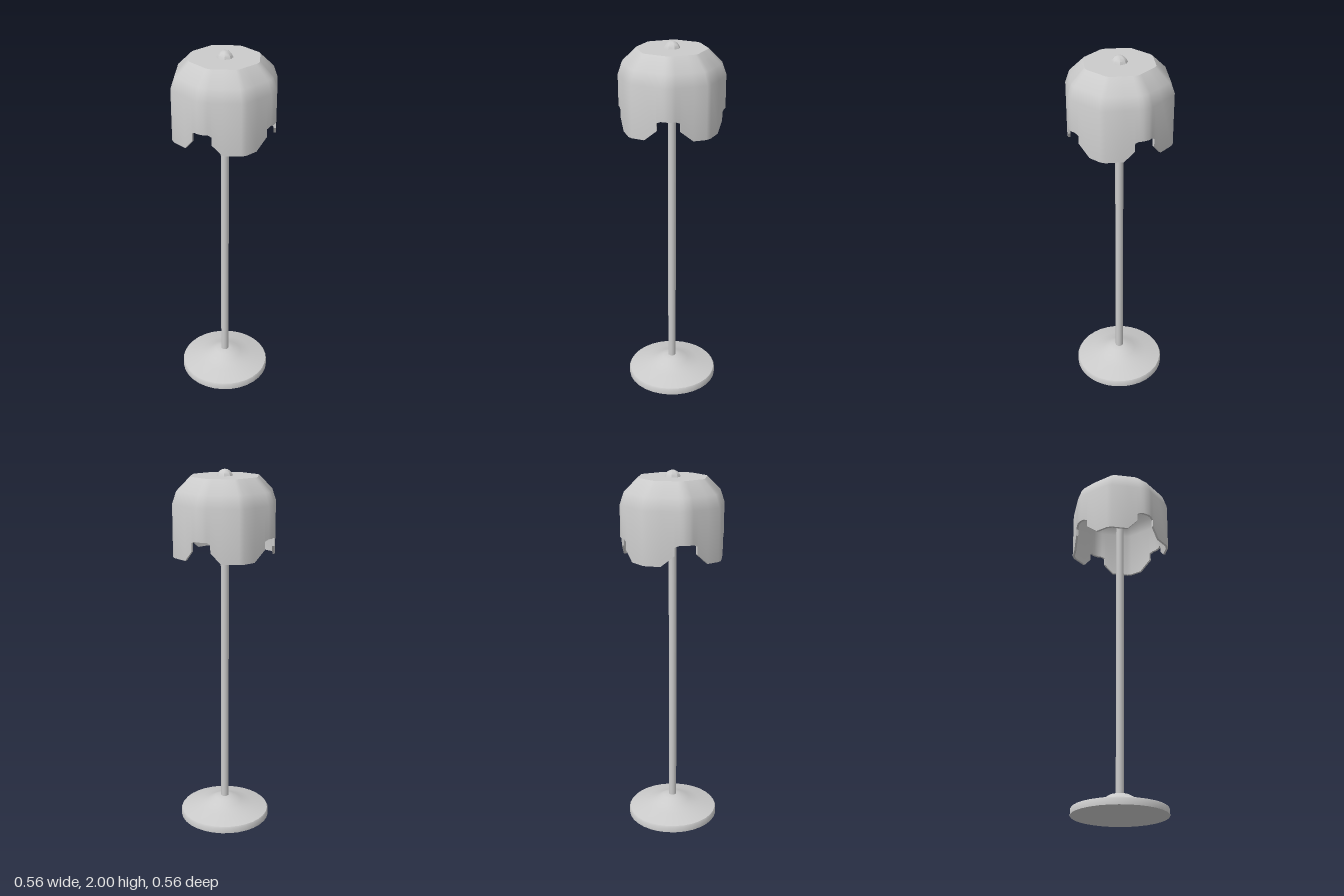
import * as THREE from 'three';
import { toCreasedNormals } from 'three/addons/utils/BufferGeometryUtils.js';

const material = new THREE.MeshStandardMaterial({ color: 0xcccccc });

function addPart(group, name, geometry) {
  const mesh = new THREE.Mesh(geometry, material);
  mesh.name = name;
  group.add(mesh);
}

function lathe(points, sides, start = 0) {
  return new THREE.LatheGeometry(points.map(p => new THREE.Vector2(...p)), sides, start);
}

// One half of a notch: sideways distance and height of the lower rim
const halfNotch = (width, step) => [
  [0.017, 1.66], [0.037, 1.66], [step, 1.65], [step, 1.607], [width, 1.55], [0.19, 1.55],
];

// Outline of the eight-panel shade with narrow corner facets, as [x, z, rimHeight]
function shadeOutline() {
  const out = t => 0.28 - (t - 0.017) * 0.405;
  const frontHalf = halfNotch(0.105, 0.054).map(([t, y]) => [t, out(t), y]);
  const sideHalf = halfNotch(0.125, 0.06).map(([t, y]) => [out(t), t, y]);
  const quarter = [...frontHalf, ...sideHalf.reverse()];
  const mirrorZ = quarter.map(([x, z, y]) => [x, -z, y]).reverse();
  const right = [...quarter, ...mirrorZ];
  return [...right, ...right.map(([x, z, y]) => [-x, z, y]).reverse()];
}

// Thin shell: each column runs over the top, down outside, and back up inside
function shadeGeometry() {
  const columns = shadeOutline().map(([x, z, rim]) => [
    [0, 1.967], [0.66, 1.967], [0.92, 1.895], [1, 1.83], [1, rim],
    [0.955, rim], [0.955, 1.826], [0.88, 1.887], [0.635, 1.955], [0, 1.955],
  ].map(([s, y]) => new THREE.Vector3(x * s, y, z * s)));

  const positions = [];
  const triangle = (a, b, c) => {
    if (new THREE.Triangle(a, b, c).getArea() < 1e-8) return;
    for (const p of [a, b, c]) positions.push(p.x, p.y, p.z);
  };
  columns.forEach((col, i) => {
    const next = columns[(i + 1) % columns.length];
    for (let j = 0; j < col.length - 1; j++) {
      triangle(col[j], col[j + 1], next[j + 1]);
      triangle(col[j], next[j + 1], next[j]);
    }
  });
  const geometry = new THREE.BufferGeometry();
  geometry.setAttribute('position', new THREE.Float32BufferAttribute(positions, 3));
  return toCreasedNormals(geometry, 0.68);
}

export function createModel() {
  const lamp = new THREE.Group();
  lamp.name = 'floorLamp';

  // Round foot with a low, flared top
  addPart(lamp, 'base', toCreasedNormals(lathe([
    [0, 0], [0.255, 0], [0.255, 0.03], [0.25, 0.038], [0.16, 0.063],
    [0.095, 0.083], [0.055, 0.106], [0.022, 0.112], [0, 0.112],
  ], 32), 0.6));

  // Slim pole reaching the underside of the cap
  const pole = new THREE.CylinderGeometry(0.022, 0.022, 1.86, 12);
  pole.translate(0, 1.03, 0);
  addPart(lamp, 'pole', pole);

  // Notched shade
  addPart(lamp, 'shade', shadeGeometry());

  // Small eight-sided knob on top
  addPart(lamp, 'finial', toCreasedNormals(lathe([
    [0.044, 1.965], [0.037, 1.981], [0.026, 1.993], [0.013, 2], [0, 2],
  ], 8, Math.PI / 8), 0.6));

  return lamp;
}
